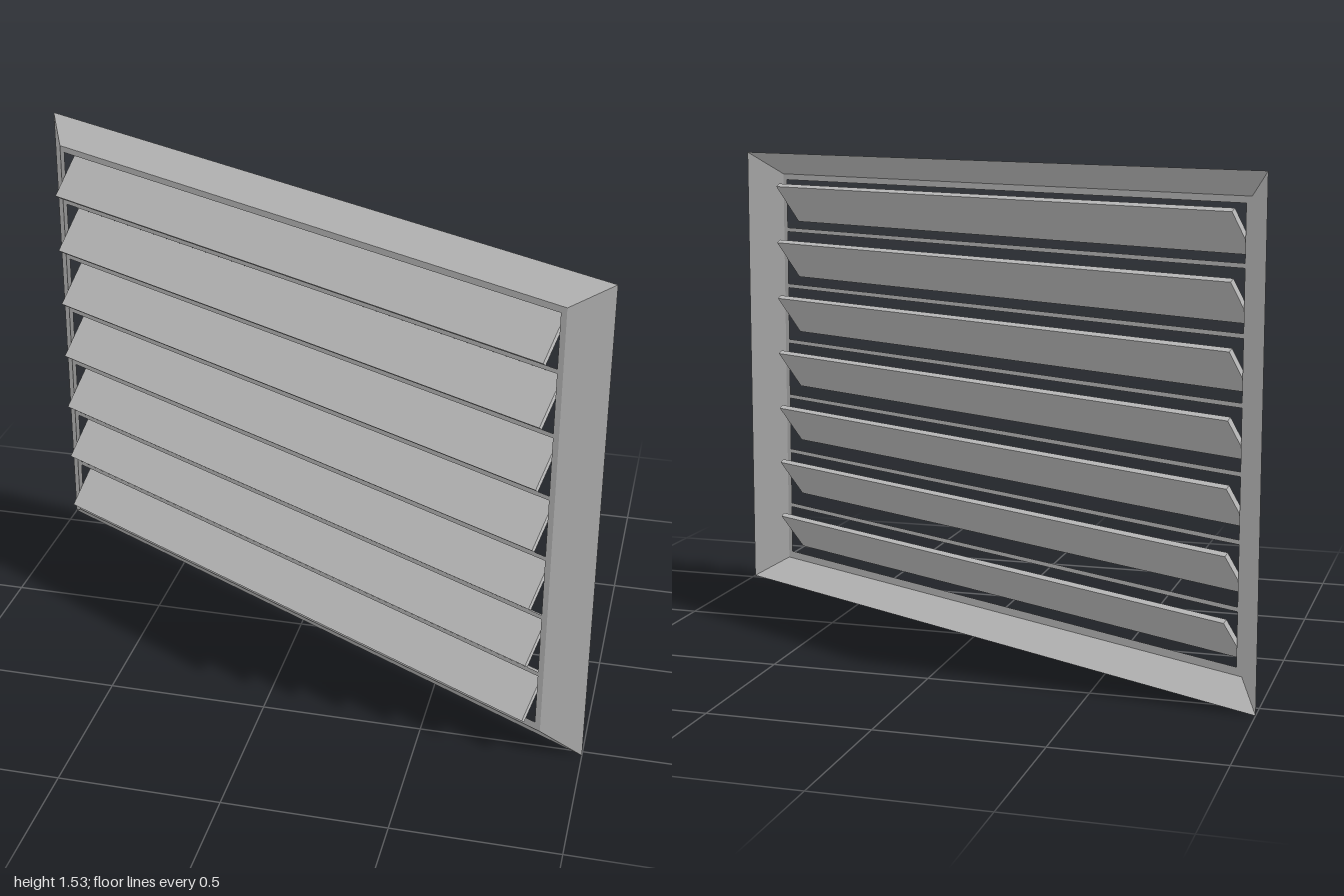
import * as THREE from 'three';

const HALF = 1.139, HEIGHT = 1.535;        // outer back edge of the flange
const INSET_X = 0.108, INSET_Y = 0.075;    // how far the flange slopes inward
const DEPTH = 0.073;                       // how far it comes forward
const OPEN_HALF = 1.011, OPEN_BOTTOM = 0.1, OPEN_TOP = 1.44;
const LOUVRES = 7;

const material = new THREE.MeshStandardMaterial({ color: 0xcccccc, flatShading: true });
const sheet = new THREE.MeshStandardMaterial({ color: 0xcccccc, flatShading: true, side: THREE.DoubleSide });

function add(parent, name, geometry, mat) {
  const mesh = new THREE.Mesh(geometry, mat);
  mesh.name = name;
  parent.add(mesh);
  return mesh;
}

// Corners of an upright rectangle, counter-clockwise from the front
function corners(half, bottom, top, z) {
  return [[-half, bottom, z], [half, bottom, z], [half, top, z], [-half, top, z]];
}

function rectangle(PathType, half, bottom, top) {
  return new PathType(corners(half, bottom, top, 0).map(([x, y]) => new THREE.Vector2(x, y)));
}

// Four mitred sheets sloping from the outer back edge to the inner front edge
function flangeGeometry() {
  const outer = corners(HALF, 0, HEIGHT, 0);
  const inner = corners(HALF - INSET_X, INSET_Y, HEIGHT - INSET_Y, DEPTH);
  const points = [];
  for (let i = 0; i < 4; i++) {
    const j = (i + 1) % 4;
    points.push(outer[i], outer[j], inner[j], outer[i], inner[j], inner[i]);
  }
  const geometry = new THREE.BufferGeometry();
  geometry.setAttribute('position', new THREE.Float32BufferAttribute(points.flat(), 3));
  geometry.computeVertexNormals();
  return geometry;
}

// Flat front plate with one slot behind each louvre, leaving narrow bars between
function plateGeometry() {
  const shape = rectangle(THREE.Shape, HALF - INSET_X, INSET_Y, HEIGHT - INSET_Y);
  const barY = (i) => 0.272 + 0.1985 * i;
  const halfBar = 0.007;
  for (let i = 0; i < LOUVRES; i++) {
    const bottom = i === 0 ? OPEN_BOTTOM : barY(i - 1) + halfBar;
    const top = i === LOUVRES - 1 ? OPEN_TOP : barY(i) - halfBar;
    shape.holes.push(rectangle(THREE.Path, OPEN_HALF, bottom, top));
  }
  return new THREE.ShapeGeometry(shape).translate(0, 0, DEPTH);
}

export function createModel() {
  const model = new THREE.Group();
  model.name = 'louvredVent';

  const vent = new THREE.Group();
  vent.name = 'vent';
  vent.rotation.y = THREE.MathUtils.degToRad(-28.6);
  vent.position.z = -0.025;
  model.add(vent);

  add(vent, 'flange', flangeGeometry(), sheet);
  add(vent, 'slottedPlate', plateGeometry(), sheet);

  // Tilted blades, lower edge forward
  const louvres = new THREE.Group();
  louvres.name = 'louvres';
  vent.add(louvres);
  const blade = new THREE.BoxGeometry(2.006, 0.16, 0.016);
  for (let i = 0; i < LOUVRES; i++) {
    const louvre = add(louvres, 'louvre', blade, material);
    louvre.position.set(-0.004, 0.183 + 0.1962 * i, 0.07);
    louvre.rotation.x = THREE.MathUtils.degToRad(-38);
  }
  return model;
}
